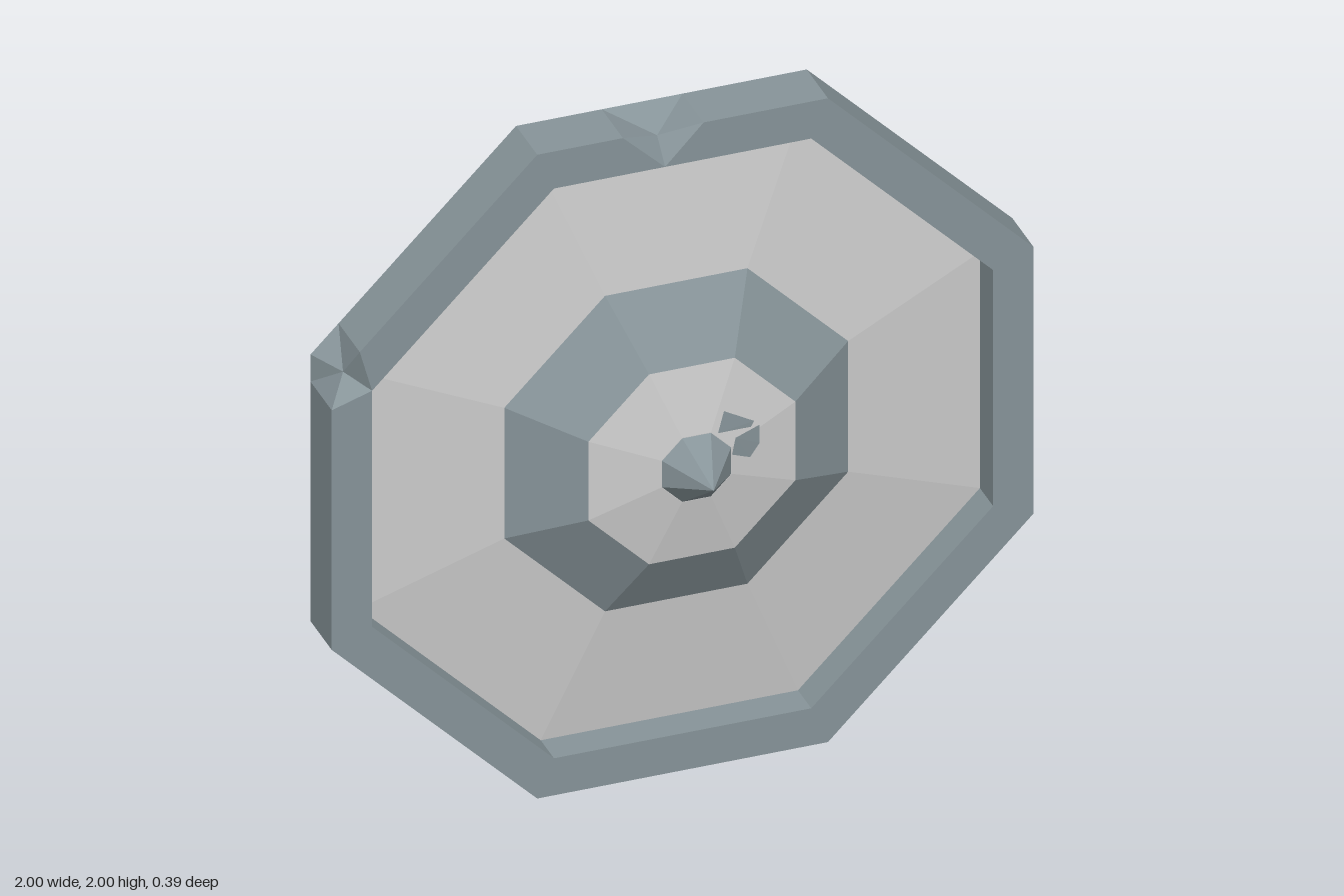
import * as THREE from 'three';
import { ConvexGeometry } from 'three/addons/geometries/ConvexGeometry.js';

const BACK = -0.2, FRONT = -0.04, INNER = 0.885;
const steel = new THREE.MeshStandardMaterial({ color: 0x879499, flatShading: true });
const board = new THREE.MeshStandardMaterial({ color: 0xcccccc, flatShading: true });

// Eight-sided turned surface about z; profile points are [apothem, z]
function octagon(name, profile, material) {
  const points = profile.map(([a, z]) => new THREE.Vector2(a / Math.cos(Math.PI / 8), z));
  const geometry = new THREE.LatheGeometry(points, 8, Math.PI / 8).rotateX(Math.PI / 2);
  const mesh = new THREE.Mesh(geometry, material);
  mesh.name = name;
  return mesh;
}

// Corner k of an octagon with the given apothem, as [x, y]
function corner(k, apothem) {
  const r = apothem / Math.cos(Math.PI / 8), t = Math.PI / 8 + k * Math.PI / 4;
  return [r * Math.cos(t), r * Math.sin(t)];
}

// Triangle fans around the first point of each polygon
function fans(name, polygons, material) {
  const positions = [];
  for (const p of polygons) {
    for (let i = 1; i < p.length - 1; i++) positions.push(...p[0], ...p[i], ...p[i + 1]);
  }
  const geometry = new THREE.BufferGeometry();
  geometry.setAttribute('position', new THREE.Float32BufferAttribute(positions, 3));
  geometry.computeVertexNormals();
  const mesh = new THREE.Mesh(geometry, material);
  mesh.name = name;
  return mesh;
}

export function createModel() {
  const shield = new THREE.Group();
  shield.name = 'shield';
  const back = (p) => [...p, BACK], front = (p) => [...p, FRONT];

  // Battle notches: start and end on the rim edge, bottom on the inner edge, deepest point
  const topCut = { start: [0.06, 1], end: [-0.17, 1], bottom: [-0.05, INNER], deep: [-0.05, 0.95, -0.1], via: [] };
  const cornerCut = {
    start: [-0.92, 0.494], end: [-1, 0.33], bottom: corner(3, INNER),
    deep: [-0.945, 0.405, -0.1], via: [corner(3, 1)],
  };

  // Rim: outer wall and front face, span by span, leaving gaps for the notches
  const rim = [];
  const span = (a, b, innerA, innerB) => rim.push(
    [back(a), back(b), front(b), front(a)],
    [front(a), front(b), front(innerB), front(innerA)],
  );
  for (let k = 0; k < 8; k++) {
    const a = corner(k, 1), b = corner(k + 1, 1), ia = corner(k, INNER), ib = corner(k + 1, INNER);
    if (k === 1) {
      span(a, topCut.start, ia, topCut.bottom);
      span(topCut.end, b, topCut.bottom, ib);
    } else {
      span(k === 3 ? cornerCut.end : a, k === 2 ? cornerCut.start : b, ia, ib);
    }
  }
  shield.add(fans('rim', rim, steel));

  // Notch facets
  const notches = [topCut, cornerCut].map(({ start, end, bottom, deep, via }) => [
    deep, back(start), ...via.map(back), back(end), front(end), front(bottom), front(start), back(start),
  ]);
  shield.add(fans('rimNotches', notches, steel));

  // Rim inside wall and sloping back edge
  shield.add(octagon('rimInnerWall', [[INNER, FRONT], [INNER, -0.14]], steel));
  shield.add(octagon('rimBackBevel', [[INNER, -0.17], [1, BACK]], steel));

  // Boards, raised boss and central spike
  shield.add(octagon('backBoard', [[0, -0.17], [INNER, -0.17]], board));
  shield.add(octagon('frontBoard', [[INNER, -0.14], [0.49, -0.088]], board));
  shield.add(octagon('bossBand', [[0.49, -0.088], [0.295, 0.03]], steel));
  shield.add(octagon('bossCap', [[0.295, 0.03], [0.1, 0.065], [0, 0.065]], board));
  shield.add(octagon('spike', [[0.1, 0.063], [0, 0.195]], steel));

  // Splintered chips beside the spike
  const chips = [
    [[0.08, 0.155, 0.06], [0.17, 0.1, 0.05], [0.06, 0.095, 0.068], [0.16, 0.085, 0.052], [0.1, 0.11, 0.03]],
    [[0.11, 0.07, 0.068], [0.185, 0.085, 0.05], [0.185, 0.03, 0.052], [0.155, -0.005, 0.058], [0.1, 0.02, 0.068], [0.14, 0.04, 0.03]],
  ];
  for (const points of chips) {
    const chip = new THREE.Mesh(new ConvexGeometry(points.map((p) => new THREE.Vector3(...p))), steel);
    chip.name = 'chip';
    shield.add(chip);
  }

  // Stand the shield on the ground
  for (const part of shield.children) part.position.y = 1;
  return shield;
}
